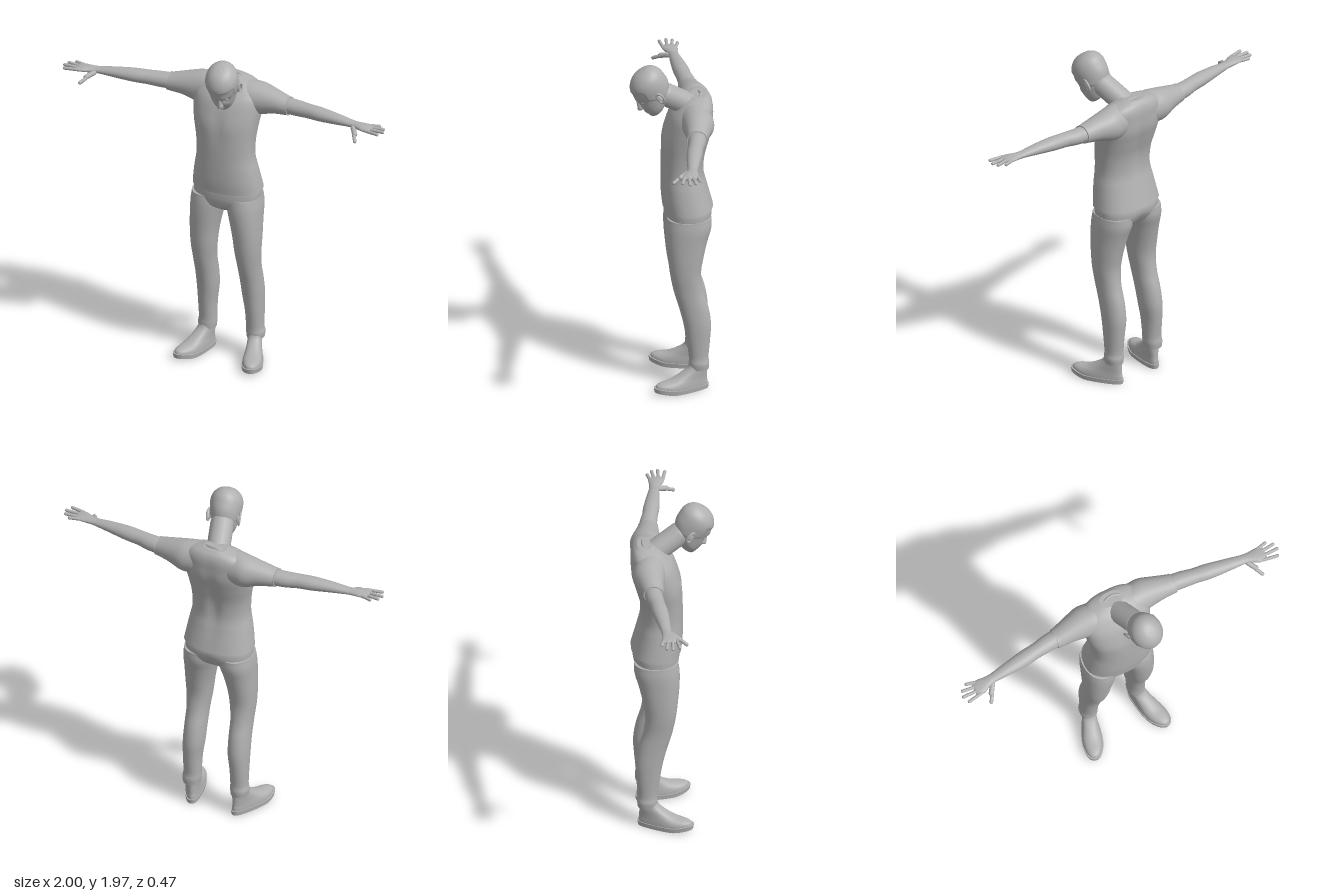
import * as THREE from 'three';

const V = (x, y, z) => new THREE.Vector3(x, y, z);
const bump = (a, b, s) => Math.exp(-((a * a + b * b) / (s * s)));

// Smooth loft through rows [t, centreA, centreB, radiusA, radiusB].
// axis 'y': t = y, A = x, B = z.  axis 'x': t = x, A = y, B = z.
function loft(rows, { axis = 'y', around = 40, steps = 6, power = 2, rule } = {}) {
  const centre = new THREE.CatmullRomCurve3(rows.map(r => V(r[0], r[1], r[2])), false, 'catmullrom');
  const radius = new THREE.CatmullRomCurve3(rows.map(r => V(r[3], r[4], 0)), false, 'catmullrom');
  const n = (rows.length - 1) * steps, pos = [], idx = [];
  const round = v => Math.sign(v) * Math.pow(Math.abs(v), 2 / power);
  const ring = i => {
    const c = centre.getPoint(i / n), r = radius.getPoint(i / n);
    for (let j = 0; j < around; j++) {
      const a = (j / around) * Math.PI * 2, u = round(Math.cos(a)), v = round(Math.sin(a));
      const p = axis === 'y' ? V(c.y + r.x * u, c.x, c.z + r.y * v) : V(c.x, c.y + r.x * v, c.z + r.y * u);
      if (rule) rule(p);
      pos.push(p.x, p.y, p.z);
    }
  };
  for (let i = 0; i <= n; i++) ring(i);
  for (let i = 0; i < n; i++) for (let j = 0; j < around; j++) {
    const a = i * around + j, b = i * around + (j + 1) % around;
    idx.push(a, a + around, b + around, a, b + around, b);
  }
  // End caps have their own vertices so that the rim stays sharp
  for (const end of [0, n]) {
    const start = pos.length / 3;
    ring(end);
    const mid = V(0, 0, 0);
    for (let j = 0; j < around; j++) mid.add(V(...pos.slice((start + j) * 3, (start + j) * 3 + 3)));
    mid.divideScalar(around);
    pos.push(mid.x, mid.y, mid.z);
    for (let j = 0; j < around; j++) {
      const a = start + j, b = start + (j + 1) % around;
      end ? idx.push(start + around, b, a) : idx.push(start + around, a, b);
    }
  }
  const g = new THREE.BufferGeometry();
  g.setAttribute('position', new THREE.Float32BufferAttribute(pos, 3));
  g.setIndex(idx);
  g.computeVertexNormals();
  return g;
}

// Round-ended rod between two points
function rod(p, q, r) {
  const d = q.clone().sub(p), len = d.length();
  const g = new THREE.CapsuleGeometry(r, Math.max(len - 2 * r, 0.001), 6, 14);
  g.applyQuaternion(new THREE.Quaternion().setFromUnitVectors(V(0, 1, 0), d.divideScalar(len)));
  const m = p.clone().add(q).multiplyScalar(0.5);
  return g.translate(m.x, m.y, m.z);
}

function mirrored(geo) {
  const g = geo.clone().scale(-1, 1, 1), a = g.index.array;
  for (let i = 0; i < a.length; i += 3) [a[i], a[i + 1]] = [a[i + 1], a[i]];
  g.computeVertexNormals();
  return g;
}

const ball = (x, y, z, sx, sy, sz) => new THREE.SphereGeometry(1, 20, 14).scale(sx, sy, sz).translate(x, y, z);

export function createModel() {
  const grey = new THREE.MeshStandardMaterial({ color: 0xb0b0b0 });
  grey.name = 'grey';
  const model = new THREE.Group();
  model.name = 'standingMan';
  const add = (name, geo, parent = model) => {
    const m = new THREE.Mesh(geo, grey);
    m.name = name;
    parent.add(m);
  };
  const pair = (name, geo, parent = model) => {
    add('left' + name, geo, parent);
    add('right' + name, mirrored(geo), parent);
  };

  // Shirt body, with a groove along the spine and a soft chest
  add('shirt', loft([
    [1.085, 0.004, -0.097, 0.206, 0.143], [1.15, 0.004, -0.085, 0.196, 0.138],
    [1.22, 0.004, -0.075, 0.184, 0.13], [1.3, 0.004, -0.067, 0.17, 0.122],
    [1.4, 0.003, -0.07, 0.174, 0.124], [1.5, 0, -0.085, 0.19, 0.135],
    [1.58, 0, -0.105, 0.202, 0.135], [1.65, 0, -0.12, 0.205, 0.122],
    [1.7, 0, -0.138, 0.19, 0.102], [1.735, 0, -0.15, 0.145, 0.078], [1.758, 0, -0.16, 0.07, 0.045],
  ], {
    around: 56, power: 2.3, rule: p => {
      if (p.z < -0.12) p.z += 0.016 * Math.exp(-((p.x / 0.035) ** 2)) * Math.exp(-(((p.y - 1.42) / 0.2) ** 2));
      if (p.z > -0.02) p.z -= 0.008 * Math.exp(-((p.x / 0.03) ** 2)) * Math.exp(-(((p.y - 1.52) / 0.1) ** 2));
    },
  }));
  const sleeve = [
    [0.08, 1.645, -0.135, 0.1, 0.09], [0.14, 1.644, -0.14, 0.099, 0.093], [0.2, 1.643, -0.145, 0.092, 0.09],
    [0.28, 1.645, -0.137, 0.07, 0.073], [0.36, 1.64, -0.127, 0.054, 0.059], [0.375, 1.64, -0.126, 0.053, 0.058],
  ];
  pair('Sleeve', loft(sleeve, { axis: 'x' }));

  // Bare arms, flattening into the palms
  pair('Arm', loft([
    [0.3, 1.642, -0.132, 0.047, 0.05], [0.42, 1.641, -0.122, 0.045, 0.05], [0.5, 1.644, -0.109, 0.041, 0.045],
    [0.58, 1.645, -0.098, 0.039, 0.046], [0.7, 1.645, -0.083, 0.029, 0.037], [0.79, 1.643, -0.073, 0.019, 0.029],
    [0.83, 1.643, -0.066, 0.018, 0.033], [0.87, 1.644, -0.058, 0.016, 0.044], [0.905, 1.644, -0.056, 0.012, 0.045],
    [0.918, 1.644, -0.056, 0.005, 0.04],
  ], { axis: 'x' }));
  const fingers = [['Index', -0.021, 0.983, -0.003], ['Middle', -0.043, 1, -0.044],
    ['Ring', -0.066, 0.99, -0.079], ['Little', -0.089, 0.953, -0.107]];
  for (const [name, z0, x1, z1] of fingers)
    pair(name + 'Finger', rod(V(0.88, 1.645, z0), V(x1, 1.645, z1), 0.0095));
  pair('ThumbBase', rod(V(0.80, 1.638, -0.055), V(0.845, 1.615, 0.01), 0.015));
  pair('ThumbTip', rod(V(0.825, 1.624, -0.01), V(0.862, 1.592, 0.047), 0.0105));

  // Trousers
  add('trouserSeat', loft([
    [0.945, 0, -0.095, 0.04, 0.06], [0.98, 0, -0.095, 0.12, 0.112], [1.02, 0.002, -0.098, 0.19, 0.13],
    [1.06, 0.003, -0.099, 0.2, 0.135], [1.1, 0.003, -0.097, 0.197, 0.132],
  ], { power: 2.3, rule: p => { if (p.z < -0.12) p.z += 0.02 * bump(p.x, p.y - 0.99, 0.045); } }));
  pair('TrouserLeg', loft([
    [0.125, 0.15, -0.152, 0.049, 0.055], [0.16, 0.15, -0.152, 0.053, 0.058], [0.2, 0.147, -0.15, 0.05, 0.056],
    [0.3, 0.146, -0.148, 0.053, 0.067], [0.4, 0.141, -0.142, 0.06, 0.078], [0.5, 0.139, -0.122, 0.061, 0.083],
    [0.6, 0.138, -0.093, 0.063, 0.083], [0.7, 0.136, -0.077, 0.073, 0.087], [0.8, 0.132, -0.078, 0.081, 0.1],
    [0.9, 0.122, -0.085, 0.091, 0.116], [0.98, 0.112, -0.096, 0.1, 0.128], [1.04, 0.107, -0.1, 0.098, 0.125],
  ], { power: 2.15 }));

  // Shoes: wider at the toe, turned out, toe lifted a little
  const shoeRule = p => {
    p.x *= 0.86 + 0.28 * THREE.MathUtils.smoothstep(p.z, -0.02, 0.18);
    p.y += 0.018 * THREE.MathUtils.smoothstep(p.z, 0.15, 0.28);
  };
  const place = g => g.rotateY(0.32).translate(0.148, 0, -0.15);
  pair('ShoeUpper', place(loft([
    [0.02, 0, 0.104, 0.052, 0.157], [0.04, 0, 0.1, 0.052, 0.153], [0.058, 0, 0.085, 0.05, 0.135],
    [0.08, 0, 0.055, 0.047, 0.104], [0.105, 0, 0.03, 0.046, 0.078], [0.135, 0, 0.01, 0.045, 0.057],
    [0.17, 0, 0.002, 0.042, 0.048],
  ], { power: 2.2, rule: shoeRule })));
  pair('ShoeSole', place(loft([
    [0, 0, 0.105, 0.053, 0.161], [0.026, 0, 0.105, 0.056, 0.165],
  ], { power: 2.3, rule: shoeRule })));

  // Neck leaning forward, and the shirt collar
  const neckBase = V(0, 1.675, -0.14), neckTop = V(0.06, 1.8, 0.06);
  add('neck', rod(neckBase.clone().lerp(neckTop, -0.1), neckTop.clone().lerp(neckBase, -0.15), 0.067));
  const collar = new THREE.TorusGeometry(0.078, 0.009, 10, 40).scale(1.05, 1, 1);
  collar.rotateX(-Math.PI / 2 + 0.68).translate(0.008, 1.712, -0.112);
  add('collar', collar);

  // Head bowed forward and turned slightly to its left
  const head = new THREE.Group();
  head.name = 'head';
  head.position.set(0.068, 1.812, 0.11);
  head.rotation.set(0.6, 0.17, 0, 'YXZ');
  model.add(head);
  add('skullAndHair', loft([
    [-0.133, 0, 0.052, 0.016, 0.018], [-0.123, 0, 0.044, 0.038, 0.043], [-0.09, 0, 0.029, 0.062, 0.068],
    [-0.05, 0, 0.01, 0.074, 0.092], [0, 0, -0.002, 0.083, 0.104], [0.05, 0, -0.006, 0.089, 0.104],
    [0.09, 0, -0.01, 0.083, 0.096], [0.122, 0, -0.014, 0.062, 0.073], [0.14, 0, -0.016, 0.035, 0.042],
    [0.146, 0, -0.016, 0.004, 0.005],
  ], {
    around: 72, steps: 8, rule: p => {
      // Raised hair above the hairline
      const line = p.z > 0.045 ? 0.066 : THREE.MathUtils.mapLinear(p.z, -0.1, 0.045, -0.075, 0.0);
      const hair = THREE.MathUtils.smoothstep(p.y, line - 0.006, line + 0.006);
      // Eye sockets, brow and cheeks
      const ax = Math.abs(p.x);
      if (p.z > 0.02) {
        p.z -= 0.013 * bump(ax - 0.033, p.y + 0.008, 0.02);
        p.z += 0.006 * bump((ax - 0.03) * 0.5, p.y - 0.022, 0.014);
        p.z += 0.004 * bump(ax - 0.045, p.y + 0.045, 0.02);
      }
      const s = 1 + 0.05 * hair;
      p.x *= s;
      p.z *= s;
    },
  }), head);
  add('nose', loft([
    [-0.058, 0, 0.09, 0.012, 0.018], [-0.047, 0, 0.1, 0.019, 0.027], [-0.02, 0, 0.095, 0.011, 0.021],
    [0.016, 0, 0.086, 0.008, 0.014],
  ], { around: 24 }), head);
  add('upperLip', ball(0, -0.077, 0.091, 0.025, 0.006, 0.012), head);
  add('lowerLip', ball(0, -0.088, 0.088, 0.021, 0.007, 0.012), head);
  pair('Eye', ball(0.033, -0.008, 0.075, 0.016, 0.011, 0.013), head);
  const ear = new THREE.TorusGeometry(0.022, 0.0065, 10, 28).scale(0.8, 1.4, 1);
  ear.rotateY(Math.PI / 2 - 0.35).translate(0.09, -0.025, -0.018);
  pair('EarRim', ear, head);
  pair('EarBowl', ball(0.083, -0.026, -0.012, 0.009, 0.028, 0.017), head);

  return model;
}
